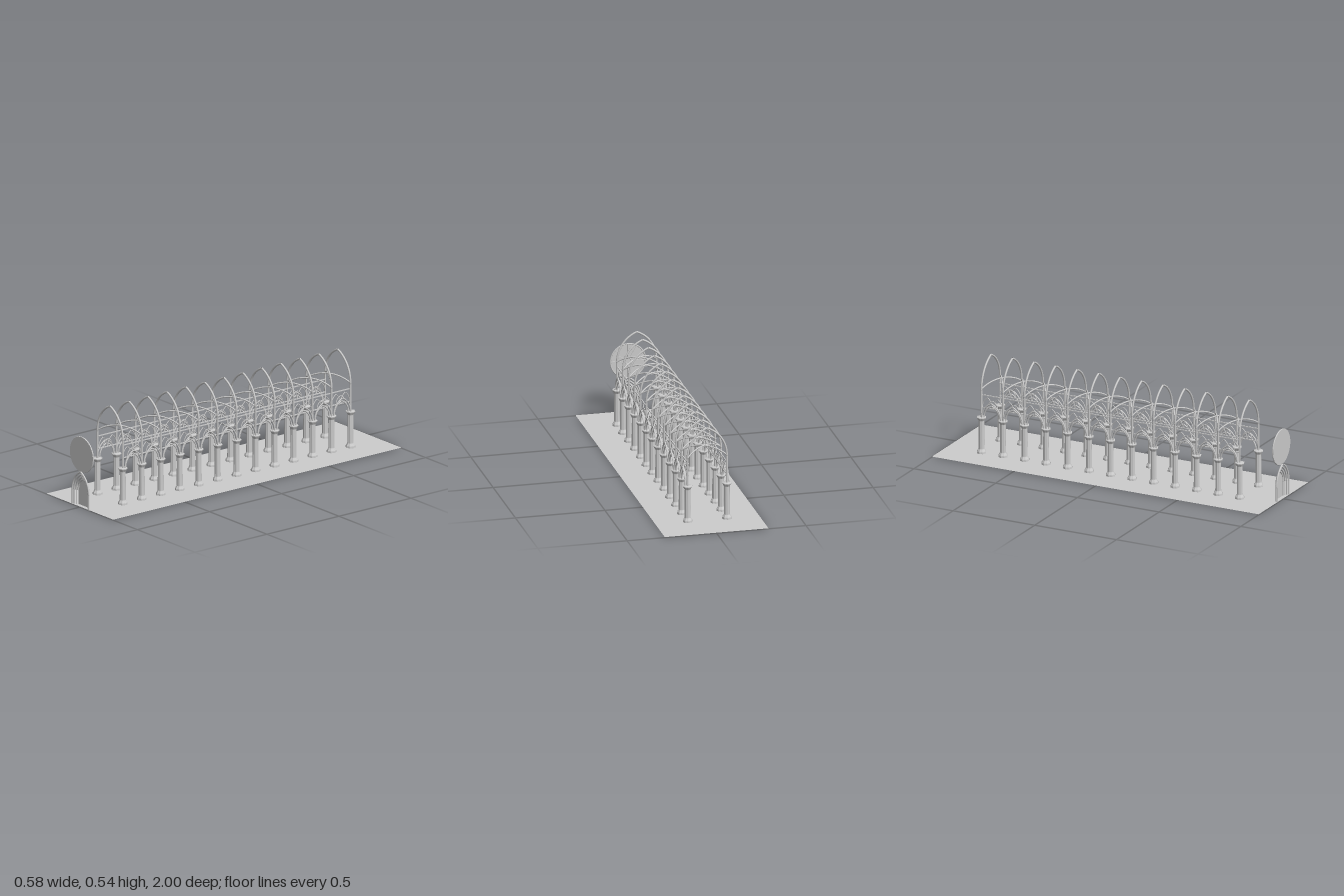
import * as THREE from 'three';

const stone = new THREE.MeshStandardMaterial({ color: 0xcccccc, side: THREE.DoubleSide });
stone.name = 'pale stone';

const BAYS = 12, Z0 = 0.79, BAY = (2 * Z0) / BAYS, X = 0.11;

function add(parent, name, geometry, x = 0, y = 0, z = 0) {
  const mesh = new THREE.Mesh(geometry, stone);
  mesh.name = name;
  mesh.position.set(x, y, z);
  parent.add(mesh);
  return mesh;
}

// One side of a two-centred pointed arch, from springing (-a, y0) to apex (0, y0 + h)
function halfArch(a, h, y0, n = 10) {
  const R = (a * a + h * h) / (2 * a), end = Math.atan2(h, R - a), pts = [];
  for (let i = 0; i <= n; i++) {
    const t = (end * i) / n;
    pts.push(new THREE.Vector3(R - a - R * Math.cos(t), y0 + R * Math.sin(t), 0));
  }
  return pts;
}

function tube(pts, r, segments = 12) {
  return new THREE.TubeGeometry(new THREE.CatmullRomCurve3(pts), segments, r, 8);
}

// Both sides of a pointed arch rib
function pointedArch(name, a, h, y0, r) {
  const g = new THREE.Group();
  g.name = name;
  const pts = halfArch(a, h, y0);
  add(g, name + 'Left', tube(pts, r));
  add(g, name + 'Right', tube(pts.map(p => new THREE.Vector3(-p.x, p.y, 0)), r));
  return g;
}

// Clustered pier: a turned profile whose radius ripples into eight shafts
function pierGeometry() {
  const profile = [
    [0.025, 0], [0.025, 0.012], [0.0235, 0.015], [0.017, 0.026], [0.0158, 0.03],
    [0.0148, 0.188], [0.0165, 0.191], [0.022, 0.202], [0.0245, 0.205], [0.0245, 0.211], [0.0001, 0.211],
  ].map(([r, y]) => new THREE.Vector2(r, y));
  const geo = new THREE.LatheGeometry(profile, 32), p = geo.attributes.position;
  for (let i = 0; i < p.count; i++) {
    const k = 1 + 0.07 * Math.cos(8 * Math.atan2(p.getZ(i), p.getX(i)));
    p.setXYZ(i, p.getX(i) * k, p.getY(i), p.getZ(i) * k);
  }
  geo.computeVertexNormals();
  return geo;
}

// Arcade and triforium of one bay, drawn along local x
function arcadeBay(side) {
  const g = new THREE.Group();
  g.name = 'arcadeBay';
  const place = (arch, x, depth) => {
    arch.position.set(x, 0, depth);
    g.add(arch);
  };
  place(pointedArch('outerArch', 0.058, 0.088, 0.211, 0.004), 0, 0.011 * side);
  place(pointedArch('innerArch', 0.049, 0.07, 0.211, 0.004), 0, 0.003 * side);
  for (const s of [-1, 1]) {
    place(pointedArch('triforiumArch', 0.03, 0.055, 0.268, 0.0025), s * 0.032, -0.005 * side);
  }
  place(pointedArch('triforiumCrossArch', 0.03, 0.04, 0.268, 0.0025), 0, -0.005 * side);
  return g;
}

export function createModel() {
  const model = new THREE.Group();
  model.name = 'gothicNave';

  const floor = add(model, 'floor', new THREE.PlaneGeometry(0.58, 2), 0, 0.003, 0);
  floor.rotation.x = -Math.PI / 2;

  // Piers, vault shafts and transverse arches
  const pier = pierGeometry();
  const shaft = new THREE.CylinderGeometry(0.0055, 0.0055, 0.16, 8);
  const spring = new THREE.CylinderGeometry(0.007, 0.0055, 0.008, 8);
  for (let i = 0; i <= BAYS; i++) {
    const z = -Z0 + i * BAY;
    for (const s of [-1, 1]) {
      add(model, 'pier', pier, s * X, 0, z);
      add(model, 'vaultShaft', shaft, s * X, 0.29, z);
      add(model, 'vaultSpringer', spring, s * X, 0.367, z);
    }
    const arch = pointedArch('transverseArch', X, 0.163, 0.37, 0.0055);
    arch.position.z = z;
    model.add(arch);
  }

  // Bays: arcades on both sides and crossed diagonal ribs with a boss
  const rise = 0.04, R = (X * X + rise * rise) / (2 * rise);
  for (let i = 0; i < BAYS; i++) {
    const z = -Z0 + (i + 0.5) * BAY;
    for (const s of [-1, 1]) {
      const bay = arcadeBay(1);
      bay.rotation.y = s * Math.PI / 2;
      bay.position.set(s * X, 0, z);
      model.add(bay);

      const pts = [];
      for (let k = 0; k <= 12; k++) {
        const t = k / 6 - 1, x = t * X;
        pts.push(new THREE.Vector3(x, 0.37 + rise - R + Math.sqrt(R * R - x * x), s * t * BAY / 2));
      }
      add(model, 'diagonalRib', tube(pts, 0.004, 20), 0, 0, z);
    }
    add(model, 'vaultBoss', new THREE.CylinderGeometry(0.007, 0.007, 0.009, 10), 0, 0.41, z);
  }

  // String courses along both walls
  for (const s of [-1, 1]) {
    for (const y of [0.264, 0.336]) {
      add(model, 'stringCourse', new THREE.BoxGeometry(0.005, 0.005, 2 * Z0), s * 0.105, y, 0);
    }
  }

  // Recessed portal: four orders stepping back to the door
  const portal = new THREE.Group();
  portal.name = 'portal';
  model.add(portal);
  const orders = [[0.071, 0.112], [0.061, 0.096], [0.051, 0.081], [0.041, 0.067]];
  orders.forEach(([a, h], i) => {
    const z = 0.995 - i * 0.006;
    const arch = pointedArch('portalArch', a, h, 0.088, 0.005);
    arch.position.z = z;
    portal.add(arch);
    for (const s of [-1, 1]) {
      add(portal, 'portalShaft', new THREE.CylinderGeometry(0.004, 0.004, 0.088, 8), s * a, 0.044, z);
      add(portal, 'portalCapital', new THREE.CylinderGeometry(0.005, 0.004, 0.008, 8), s * a, 0.086, z);
    }
  });
  const left = halfArch(0.037, 0.06, 0.088);
  const right = left.slice(0, -1).reverse().map(p => new THREE.Vector3(-p.x, p.y, 0));
  const outline = [...left, ...right].map(p => new THREE.Vector2(p.x, p.y));
  const doorShape = new THREE.Shape([new THREE.Vector2(-0.037, 0), ...outline, new THREE.Vector2(0.037, 0)]);
  add(portal, 'door', new THREE.ExtrudeGeometry(doorShape, { depth: 0.004, bevelEnabled: false }), 0, 0, 0.972);

  // Rose window: disc, rim, hub and spokes on the inner face
  const rose = new THREE.Group();
  rose.name = 'roseWindow';
  rose.position.set(0, 0.297, 0.986);
  model.add(rose);
  add(rose, 'roseDisc', new THREE.CylinderGeometry(0.1, 0.1, 0.004, 48), 0, 0, 0.002).rotation.x = Math.PI / 2;
  add(rose, 'roseRim', new THREE.TorusGeometry(0.098, 0.004, 8, 48));
  add(rose, 'roseHub', new THREE.TorusGeometry(0.016, 0.003, 8, 20), 0, 0, -0.001);
  for (let i = 0; i < 12; i++) {
    const a = (i * Math.PI) / 6;
    const spoke = add(rose, 'roseSpoke', new THREE.BoxGeometry(0.082, 0.004, 0.005),
      0.057 * Math.cos(a), 0.057 * Math.sin(a), -0.001);
    spoke.rotation.z = a;
  }
  return model;
}
